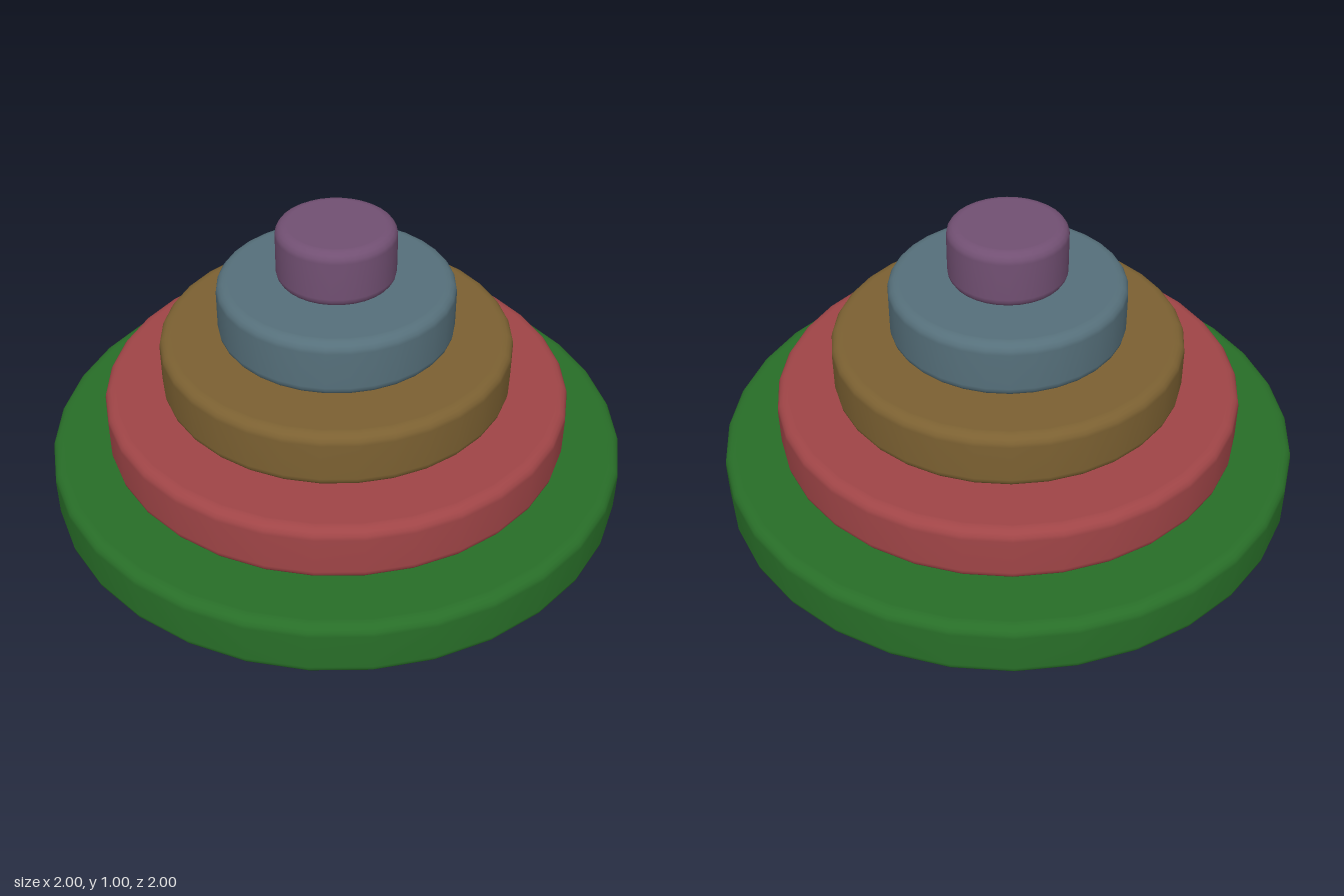
import * as THREE from 'three';

const TIER_HEIGHT = 0.2;
const BEVEL = 0.035;
const SIDES = 32;

// Round slab with softly rounded rims, standing on y = 0
function roundedDisc(radius, height) {
  const points = [new THREE.Vector2(0, 0), new THREE.Vector2(radius - BEVEL - 0.005, 0)];
  const steps = 4;
  const addArc = (centreY, start) => {
    for (let i = 0; i <= steps; i++) {
      const a = start + (i / steps) * Math.PI / 2;
      points.push(new THREE.Vector2(
        radius - BEVEL + Math.cos(a) * BEVEL,
        centreY + Math.sin(a) * BEVEL
      ));
    }
  };
  addArc(BEVEL, -Math.PI / 2);
  addArc(height - BEVEL, 0);
  points.push(new THREE.Vector2(radius - BEVEL - 0.005, height), new THREE.Vector2(0, height));
  return new THREE.LatheGeometry(points, SIDES);
}

export function createModel() {
  const model = new THREE.Group();
  model.name = 'stackedDiscs';

  // Tiers from the widest at the bottom to the smallest on top
  const tiers = [
    { name: 'baseDisc', radius: 1.0, colorName: 'green', color: 0x286e28 },
    { name: 'secondDisc', radius: 0.8, colorName: 'red', color: 0xa04547 },
    { name: 'middleDisc', radius: 0.6, colorName: 'ochre', color: 0x7c6132 },
    { name: 'fourthDisc', radius: 0.4, colorName: 'slate blue', color: 0x56707b },
    { name: 'topDisc', radius: 0.2, colorName: 'plum', color: 0x725073 },
  ];

  tiers.forEach((tier, i) => {
    const material = new THREE.MeshStandardMaterial({ color: tier.color });
    material.name = tier.colorName;
    const disc = new THREE.Mesh(roundedDisc(tier.radius, TIER_HEIGHT), material);
    disc.name = tier.name;
    disc.position.y = i * TIER_HEIGHT;
    model.add(disc);
  });

  return model;
}
